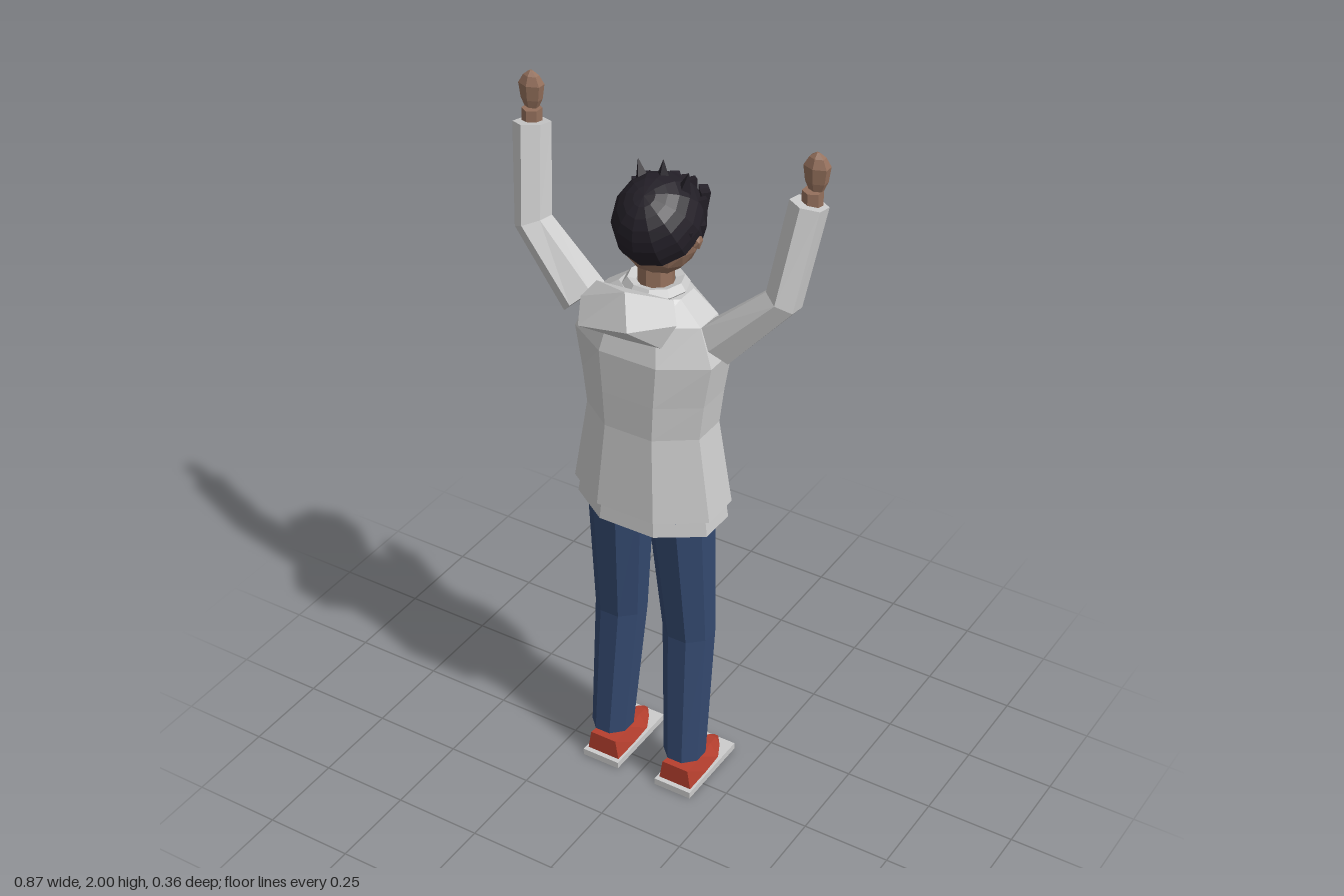
import * as THREE from 'three';
import { ConvexGeometry } from 'three/addons/geometries/ConvexGeometry.js';

const V = (x, y, z) => new THREE.Vector3(x, y, z);
const mat = (color) => new THREE.MeshStandardMaterial({ color, flatShading: true, side: THREE.DoubleSide });

// Polygon ring around c, facing along axis
function ring(c, rx, rz, n, axis = V(0, 1, 0)) {
  const q = new THREE.Quaternion().setFromUnitVectors(V(0, 1, 0), axis.clone().normalize());
  const k = 1 / Math.cos(Math.PI / n);
  return Array.from({ length: n }, (_, i) => {
    const a = ((i + 0.5) / n) * Math.PI * 2;
    return V(Math.cos(a) * rx * k, 0, Math.sin(a) * rz * k).applyQuaternion(q).add(c);
  });
}

// Faceted, capped skin over a list of rings
function loft(rings) {
  const pts = [];
  const n = rings[0].length;
  const mid = (r) => r.reduce((s, p) => s.add(p), V(0, 0, 0)).divideScalar(n);
  const first = rings[0], last = rings[rings.length - 1];
  for (let i = 0; i < n; i++) {
    const j = (i + 1) % n;
    for (let k = 0; k + 1 < rings.length; k++) {
      const A = rings[k], B = rings[k + 1];
      pts.push(A[i], B[i], A[j], A[j], B[i], B[j]);
    }
    pts.push(mid(first), first[i], first[j], mid(last), last[j], last[i]);
  }
  const g = new THREE.BufferGeometry().setFromPoints(pts);
  g.computeVertexNormals();
  return g;
}

export function createModel() {
  const group = new THREE.Group();
  const grey = mat(0xcccccc), denim = mat(0x34496f), red = mat(0xb8402f);
  const skin = mat(0x94705c), hairMat = mat(0x231f27), dark = mat(0x1c1517);
  const add = (name, geo, material, x = 0, y = 0, z = 0, parent = group) => {
    const m = new THREE.Mesh(geo, material);
    m.name = name;
    m.position.set(x, y, z);
    parent.add(m);
    return m;
  };

  // Jacket body, hem and collar: [y, half width, half depth]
  const body = (rows) => loft(rows.map(([y, w, d, z = -0.015]) => ring(V(0, y, z), w, d, 8)));
  add('jacketHem', body([[0.89, 0.197, 0.13], [0.945, 0.19, 0.125]]), grey);
  add('jacketBody', body([[0.94, 0.205, 0.137], [1.18, 0.168, 0.119], [1.28, 0.18, 0.121],
    [1.4, 0.2, 0.122], [1.5, 0.16, 0.1, -0.02], [1.55, 0.09, 0.075, -0.03]]), grey);
  add('collar', new THREE.TorusGeometry(0.066, 0.02, 5, 10).rotateX(Math.PI / 2), grey, 0, 1.555, -0.03);

  // Folded hood behind the neck
  add('hood', new ConvexGeometry([
    V(0, 1.6, 0.115), V(-0.12, 1.565, 0.055), V(-0.145, 1.53, 0.09), V(-0.115, 1.485, 0.15),
    V(0.045, 1.53, 0.178), V(0.142, 1.545, 0.105), V(0.11, 1.48, 0.125), V(0, 1.46, 0.11),
    V(0.1, 1.575, 0.05), V(-0.05, 1.49, 0.045), V(0.06, 1.49, 0.04)]), grey);

  // Front pockets and draw strings
  for (const s of [-1, 1]) {
    add('pocket', new THREE.BoxGeometry(0.075, 0.13, 0.01), grey, s * 0.053, 1.04, -0.147).rotation.x = 0.08;
    add('drawString', new THREE.BoxGeometry(0.007, 0.15, 0.008), grey, s * 0.042, 1.36, -0.139);
  }

  // Arms, hands, legs and shoes
  for (const s of [-1, 1]) {
    const sh = V(s * 0.2, 1.46, -0.01), el = V(s * 0.362, 1.622, -0.027), wr = V(s * 0.393, 1.87, -0.078);
    const d1 = el.clone().sub(sh), d2 = wr.clone().sub(el);
    const bend = d1.clone().normalize().add(d2.clone().normalize());
    add('sleeve', loft([ring(sh, 0.055, 0.057, 6, d1), ring(el, 0.042, 0.045, 6, bend),
      ring(wr, 0.042, 0.043, 6, d2)]), grey);
    add('wrist', new THREE.CylinderGeometry(0.026, 0.026, 0.07, 6), skin, s * 0.397, 1.868, -0.085);
    const c = (y) => V(s * 0.402, y, -0.093);
    add('hand', loft([ring(c(1.895), 0.014, 0.011, 6), ring(c(1.925), 0.026, 0.018, 6),
      ring(c(1.965), 0.031, 0.021, 6), ring(c(1.988), 0.019, 0.013, 6), ring(c(2), 0.004, 0.003, 6)]), skin);

    add('trouserLeg', loft([ring(V(s * 0.1175, 0.105, 0.006), 0.054, 0.055, 8),
      ring(V(s * 0.107, 0.51, -0.027), 0.067, 0.063, 8),
      ring(V(s * 0.092, 0.93, -0.004), 0.083, 0.085, 8)]), denim);

    add('shoeSole', new THREE.BoxGeometry(0.114, 0.02, 0.245), grey, s * 0.1175, 0.01, -0.05);
    // Shoe sections: [z, bottom half width, top half width, height]
    const shoe = [[0.058, 0.05, 0.04, 0.08], [-0.03, 0.05, 0.036, 0.068], [-0.1, 0.047, 0.02, 0.056],
      [-0.145, 0.025, 0.012, 0.042], [-0.168, 0.008, 0.005, 0.028]]
      .map(([z, b, t, h]) => [V(b, 0.019, z), V(t, h, z), V(-t, h, z), V(-b, 0.019, z)]);
    add('shoeUpper', loft(shoe), red, s * 0.1175);
  }

  // Neck and head with facial features
  add('neck', new THREE.CylinderGeometry(0.045, 0.05, 0.13, 8), skin, 0, 1.58, -0.03);
  const head = new THREE.Group();
  head.name = 'head';
  head.position.set(0, 1.705, -0.05);
  group.add(head);
  add('skull', new THREE.IcosahedronGeometry(1, 2).scale(0.105, 0.122, 0.11), skin, 0, 0, 0, head);
  add('nose', new THREE.ConeGeometry(0.012, 0.035, 4), skin, 0, -0.022, -0.111, head);
  add('mouth', new THREE.IcosahedronGeometry(1, 1).scale(0.02, 0.014, 0.012), dark, 0, -0.065, -0.09, head);
  for (const s of [-1, 1]) {
    add('eye', new THREE.IcosahedronGeometry(1, 1).scale(0.012, 0.014, 0.01), dark, s * 0.038, 0.005, -0.101, head);
    add('ear', new THREE.IcosahedronGeometry(1, 0).scale(0.014, 0.026, 0.018), skin, s * 0.104, -0.01, 0, head);
  }

  // Hair cap tilted to the back, crown spikes, fringe and side locks
  const cap = new THREE.SphereGeometry(0.12, 12, 7, 0, Math.PI * 2, 0, 1.75).rotateX(0.6);
  add('hairCap', cap.scale(0.96, 1, 1.04), hairMat, 0, 0.02, 0.007, head);
  for (const [x, y, tilt] of [[-0.065, 0.132, 0.25], [0, 0.148, 0], [0.065, 0.132, -0.25]])
    add('crownSpike', new THREE.ConeGeometry(0.022, 0.06, 4), hairMat, x, y, -0.012, head).rotation.z = tilt;
  for (let i = 0; i < 9; i++) {
    const a = (i - 4) * 0.3;
    const len = 0.075 + 0.02 * (i % 2);
    const lock = new THREE.ConeGeometry(0.017, len, 4).rotateX(Math.PI).rotateZ((i % 3 - 1) * 0.2);
    add('fringeLock', lock, hairMat, Math.sin(a) * 0.107, 0.065 - len / 4, -Math.cos(a) * 0.112, head);
  }
  for (const s of [-1, 1])
    for (const z of [-0.015, 0.035])
      add('sideLock', new THREE.ConeGeometry(0.02, 0.07, 4).rotateX(Math.PI), hairMat, s * (0.1 - z * 0.2), -0.005, z, head);

  return group;
}
